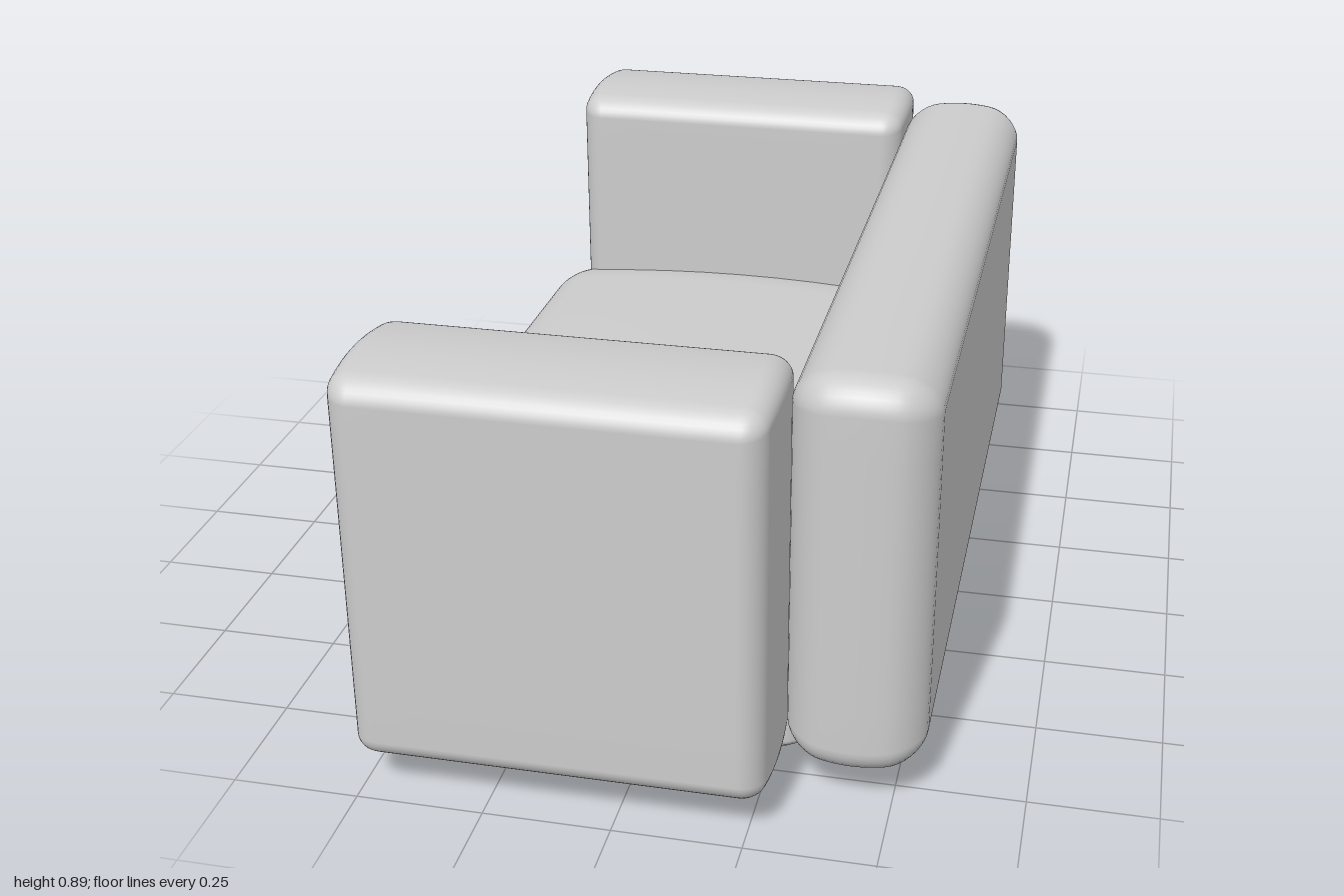
import * as THREE from 'three';
import { mergeVertices } from 'three/addons/utils/BufferGeometryUtils.js';

const EDGE = 4, FLAT = 8, COUNT = EDGE * 2 + FLAT; // grid rows in each rounded edge and flat face

// Padded block: half sizes, edge radius per axis, and crowns [axis, across, drop at the rim]
function cushionGeometry(half, radii, crowns) {
  const box = new THREE.BoxGeometry(2, 2, 2, COUNT, COUNT, COUNT);
  box.deleteAttribute('uv');
  box.deleteAttribute('normal');
  const geometry = mergeVertices(box);
  const pos = geometry.attributes.position;
  const offset = new THREE.Vector3();
  for (let i = 0; i < pos.count; i++) {
    const inner = [0, 0, 0], out = [0, 0, 0];
    for (let a = 0; a < 3; a++) {
      const row = Math.round((pos.getComponent(i, a) + 1) / 2 * COUNT);
      const low = Math.max(0, EDGE - row), high = Math.max(0, row - EDGE - FLAT);
      const t = THREE.MathUtils.clamp((row - EDGE) / FLAT, 0, 1) * 2 - 1;
      inner[a] = t * (half[a] - radii[a]);
      out[a] = Math.tan((high - low) / EDGE * Math.PI / 4);
    }
    // Round the rim, then swell the faces
    offset.fromArray(out).normalize();
    const p = inner.map((v, a) => v + offset.getComponent(a) * radii[a]);
    const swollen = [...p];
    for (const [axis, across, drop] of crowns) {
      swollen[axis] *= 1 - drop / half[axis] * (p[across] / half[across]) ** 2;
    }
    pos.setXYZ(i, ...swollen);
  }
  geometry.computeVertexNormals();
  return geometry;
}

export function createModel() {
  const sofa = new THREE.Group();
  sofa.name = 'sofa';
  const fabric = new THREE.MeshStandardMaterial({ color: 0xcccccc });
  fabric.name = 'light grey fabric';
  const X = 0, Y = 1, Z = 2;

  function add(name, geometry, x, y, z) {
    const mesh = new THREE.Mesh(geometry, fabric);
    mesh.name = name;
    mesh.position.set(x, y, z);
    sofa.add(mesh);
  }

  // Seat, open toward -x, bulging above and below
  add('seat', cushionGeometry([0.455, 0.228, 0.75], [0.08, 0.045, 0.14],
    [[Y, X, 0.028], [Y, Z, 0.008]]), -0.105, 0.23, 0);

  // Backrest along the +x side
  add('backrest', cushionGeometry([0.135, 0.405, 0.86], [0.075, 0.06, 0.07],
    [[Y, X, 0.018], [Z, X, 0.025]]), 0.425, 0.485, 0);

  // Matching armrests at both ends
  const arm = cushionGeometry([0.4, 0.405, 0.158], [0.045, 0.04, 0.05],
    [[Y, Z, 0.018], [X, Z, 0.01]]);
  add('leftArmrest', arm, -0.11, 0.481, 0.842);
  add('rightArmrest', arm, -0.11, 0.481, -0.842);

  return sofa;
}
